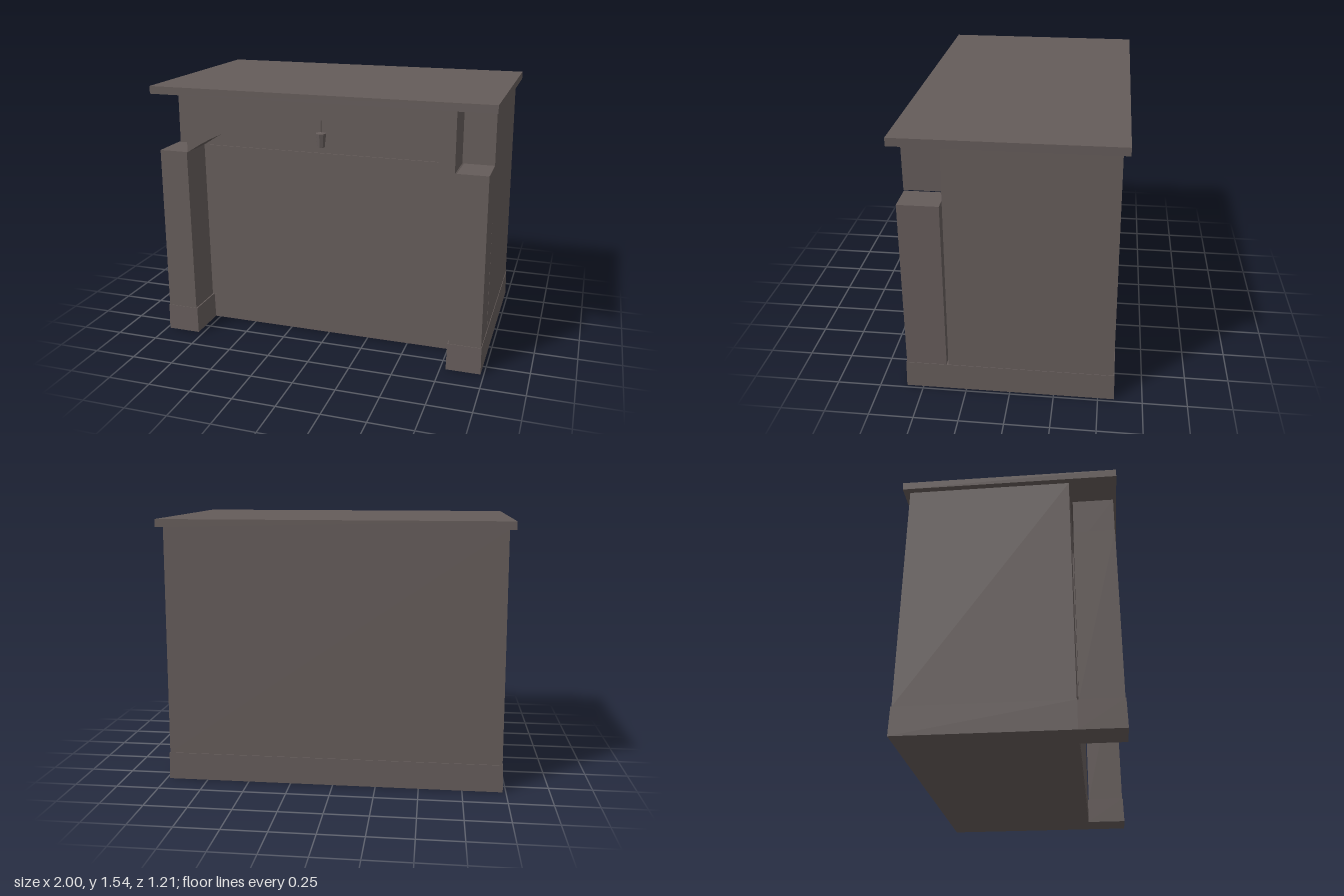
import * as THREE from 'three';

const stone = new THREE.MeshStandardMaterial({ color: 0x655c5a });
stone.name = 'dark stone';

// Box whose bottom and top rectangles may differ: [x0, x1, z0, z1]
function taperedBox(name, y0, y1, bottom, top) {
  const g = new THREE.BoxGeometry(1, 1, 1).toNonIndexed();
  const p = g.attributes.position;
  for (let i = 0; i < p.count; i++) {
    const up = p.getY(i) > 0;
    const r = up ? top : bottom;
    p.setXYZ(i, p.getX(i) > 0 ? r[1] : r[0], up ? y1 : y0, p.getZ(i) > 0 ? r[3] : r[2]);
  }
  g.computeVertexNormals();
  const mesh = new THREE.Mesh(g, stone);
  mesh.name = name;
  return mesh;
}

function lathe(name, points, sides) {
  const profile = points.map(([r, y]) => new THREE.Vector2(r, y));
  const g = new THREE.LatheGeometry(profile, sides).toNonIndexed();
  g.computeVertexNormals();
  const mesh = new THREE.Mesh(g, stone);
  mesh.name = name;
  return mesh;
}

export function createModel() {
  const model = new THREE.Group();
  model.name = 'archedBuilding';

  // Flat roof slab, plinth and tapering main block
  model.add(
    taperedBox('roofSlab', 1.495, 1.54, [-1, 1, -0.607, 0.607], [-1, 1, -0.607, 0.607]),
    taperedBox('plinth', 0, 0.16, [-0.982, 0.982, -0.592, 0.352], [-0.979, 0.979, -0.588, 0.352]),
    taperedBox('mainBlock', 0.16, 1.495, [-0.976, 0.976, -0.583, 0.35], [-0.965, 0.965, -0.571, 0.34]),
    taperedBox('frontPanel', 0.008, 1.15, [-0.77, 0.77, 0.3, 0.355], [-0.77, 0.77, 0.3, 0.35])
  );

  // Pillars on footings, one at each side of the porch
  for (const s of [-1, 1]) {
    const rect = (inner, outer, back, front) =>
      s > 0 ? [inner, outer, back, front] : [-outer, -inner, back, front];
    const pillar = new THREE.Group();
    pillar.name = s > 0 ? 'leftPillar' : 'rightPillar';
    pillar.add(
      taperedBox('footing', 0, 0.16, rect(0.782, 0.982, 0.352, 0.597), rect(0.785, 0.979, 0.352, 0.593)),
      taperedBox('shaft', 0.16, 1.157, rect(0.793, 0.976, 0.36, 0.589), rect(0.797, 0.97, 0.358, 0.584))
    );
    model.add(pillar);
  }

  // Beam with an arched underside
  const half = 0.788, spring = 1.157, crown = 1.4;
  const rise = crown - spring;
  const radius = (half * half + rise * rise) / (2 * rise);
  const angle = Math.asin(half / radius);
  const face = new THREE.Shape();
  face.moveTo(half, spring);
  face.lineTo(half, 1.495);
  face.lineTo(-half, 1.495);
  face.lineTo(-half, spring);
  face.absarc(0, crown - radius, radius, Math.PI / 2 + angle, Math.PI / 2 - angle, true);
  const beam = new THREE.Mesh(
    new THREE.ExtrudeGeometry(face, { depth: 0.235, bevelEnabled: false, curveSegments: 32 }), stone);
  beam.name = 'archBeam';
  beam.position.z = 0.354;
  model.add(beam);

  // Lantern hanging from the crown of the arch
  const lantern = new THREE.Group();
  lantern.name = 'lantern';
  lantern.add(
    lathe('rod', [[0.003, 1.3], [0.003, 1.402]], 6),
    lathe('shade', [[0, 1.218], [0.022, 1.22], [0.031, 1.297], [0.031, 1.301], [0.008, 1.305], [0, 1.31]], 8)
  );
  lantern.position.z = 0.478;
  model.add(lantern);

  return model;
}
